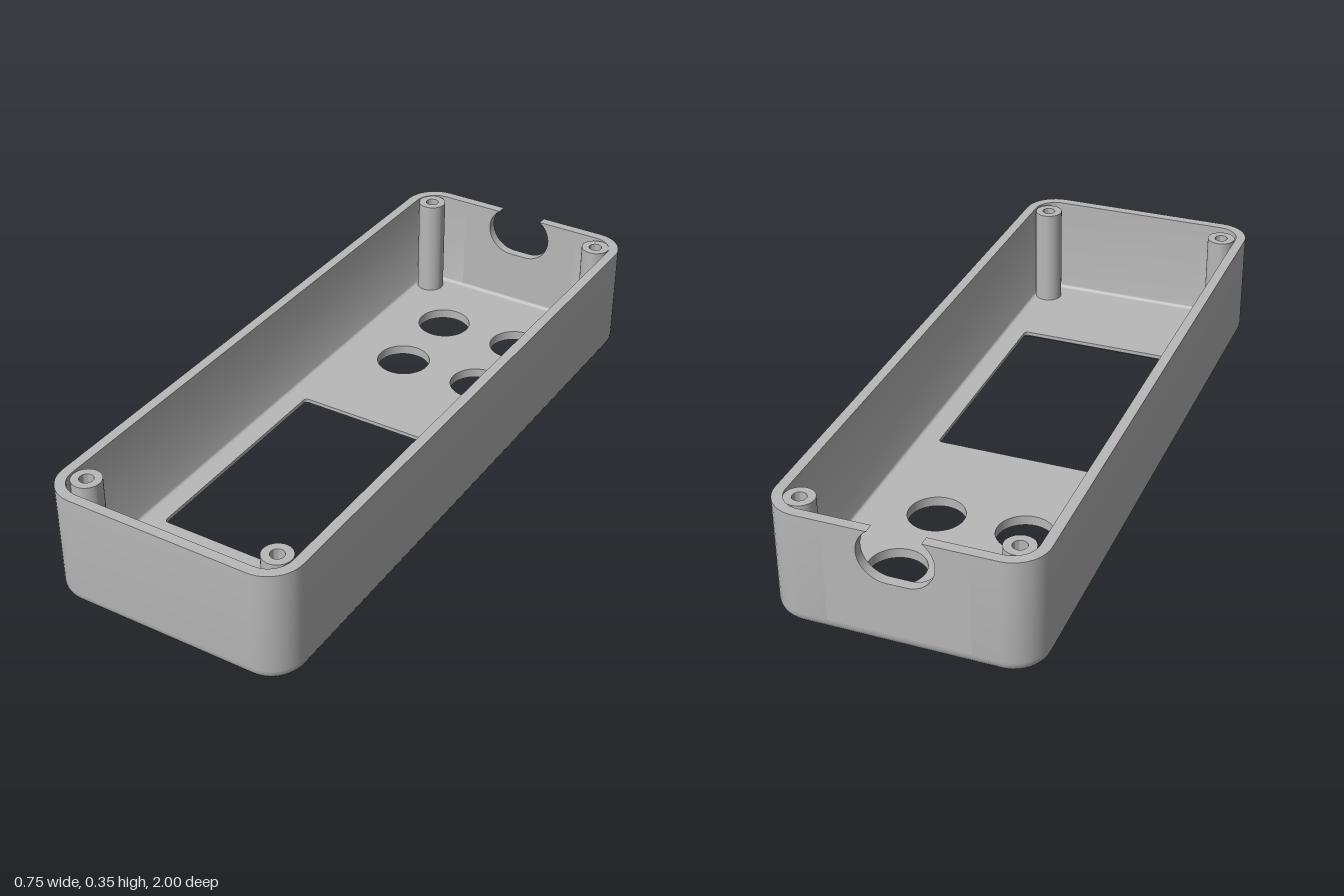
import * as THREE from 'three';
import { toCreasedNormals } from 'three/addons/utils/BufferGeometryUtils.js';

const H = 0.346, HX = 0.375, HZ = 1;      // height and half sizes
const WALL = 0.03, FLOOR = 0.03, FILLET = 0.04, CORNER = 0.1;
const PANEL = 0.2;                        // half width of the rear panel with the cable notch

// Rounded rectangle as [x, z] points, starting and ending on its rear edge
function roundRect(hx, hz, r, cx = 0, cz = 0, gap = 0, seg = 10) {
  const pts = [[cx - gap, cz - hz]];
  const corners = [[-1, -1, 1.5], [-1, 1, 1], [1, 1, 0.5], [1, -1, 0]];
  for (const [sx, sz, start] of corners) {
    for (let i = 0; i <= seg; i++) {
      const a = (start - 0.5 * i / seg) * Math.PI;
      pts.push([cx + sx * (hx - r) + r * Math.cos(a), cz + sz * (hz - r) + r * Math.sin(a)]);
    }
  }
  if (gap) pts.push([cx + gap, cz - hz]);
  return pts;
}

function circle(cx, cz, r, n = 40) {
  return Array.from({ length: n }, (_, i) => {
    const a = -2 * Math.PI * i / n;
    return [cx + r * Math.cos(a), cz + r * Math.sin(a)];
  });
}

// Skin through a stack of { y, pts } loops; the closing quad may be left out
function loft(loops, leaveOpen = () => false) {
  const pos = [];
  for (let k = 0; k + 1 < loops.length; k++) {
    const lo = loops[k], up = loops[k + 1], n = lo.pts.length;
    const count = leaveOpen(lo, up) ? n - 1 : n;
    for (let i = 0; i < count; i++) {
      const j = (i + 1) % n;
      const v = (l, m) => [l.pts[m][0], l.y, l.pts[m][1]];
      const a = v(lo, i), b = v(lo, j), c = v(up, j), d = v(up, i);
      pos.push(...a, ...b, ...c, ...a, ...c, ...d);
    }
  }
  const g = new THREE.BufferGeometry();
  g.setAttribute('position', new THREE.Float32BufferAttribute(pos, 3));
  return toCreasedNormals(g, 0.6);
}

// Flat sheet with holes, facing up or down
function sheet(outline, holes, y, up) {
  const s = up ? -1 : 1;
  const vec = pts => pts.map(([x, z]) => new THREE.Vector2(x, s * z));
  const shape = new THREE.Shape(vec(outline));
  shape.holes = holes.map(h => new THREE.Path(vec(h)));
  return new THREE.ShapeGeometry(shape).rotateX(s * Math.PI / 2).translate(0, y, 0);
}

export function createModel() {
  const group = new THREE.Group();
  const grey = new THREE.MeshStandardMaterial({ color: 0xb8b8b8 });
  grey.name = 'grey plastic';
  const add = (name, geo) => {
    const m = new THREE.Mesh(geo, grey);
    m.name = name;
    group.add(m);
    return m;
  };

  // Shell: rounded lower edge, outer wall, rim, inner wall, inner fillet
  const ring = (inset, y) => ({
    y, pts: roundRect(HX - inset, HZ - inset, CORNER - inset, 0, 0, PANEL),
  });
  const rings = [];
  for (let i = 0; i <= 6; i++) {
    const a = i / 6 * Math.PI / 2;
    rings.push(ring(FILLET * (1 - Math.sin(a)), FILLET * (1 - Math.cos(a))));
  }
  rings.push(ring(0, H), ring(WALL, H));
  const r = FILLET - FLOOR;
  for (let i = 0; i <= 4; i++) {
    const a = i / 4 * Math.PI / 2;
    rings.push(ring(WALL + r * (1 - Math.cos(a)), FILLET - r * Math.sin(a)));
  }
  const isWall = (lo, up) => Math.min(lo.y, up.y) > FILLET - 1e-6;
  add('shell', loft(rings, isWall));

  // Rear panel with a slot-shaped cable notch open at the rim
  const nr = 0.08, nx = 0.027, drop = 0.065, open = Math.asin(drop / nr);
  const panel = new THREE.Shape();
  panel.moveTo(-PANEL, FILLET);
  panel.lineTo(PANEL, FILLET);
  panel.lineTo(PANEL, H);
  panel.absarc(nx, H - drop, nr, open, -Math.PI / 2, true);
  panel.absarc(-nx, H - drop, nr, -Math.PI / 2, -Math.PI - open, true);
  panel.lineTo(-PANEL, H);
  const panelGeo = new THREE.ExtrudeGeometry(panel, { depth: WALL, bevelEnabled: false, curveSegments: 20 });
  add('rearPanel', toCreasedNormals(panelGeo.translate(0, 0, -HZ), 0.6));

  // Floor with four button holes and a display window bevelled from below
  const win = grow => roundRect(0.278 + grow, 0.362 + grow, 0.012 + grow, 0, 0.259, 0, 6);
  const buttons = [];
  for (const z of [-0.718, -0.453]) for (const x of [-0.1325, 0.1325]) buttons.push(circle(x, z, 0.083));
  const outline = ring(FILLET, 0).pts;
  add('floorTop', sheet(outline, [win(0), ...buttons], FLOOR, true));
  add('floorUnderside', sheet(outline, [win(0.025), ...buttons], 0, false));
  add('windowEdge', loft([
    { y: FLOOR, pts: win(0) }, { y: 0.018, pts: win(0) }, { y: 0, pts: win(0.025) },
  ]));
  for (const pts of buttons) add('buttonHoleEdge', loft([{ y: FLOOR, pts }, { y: 0, pts }]));

  // Screw posts with blind holes
  const profile = [[0.043, FLOOR - 0.005], [0.043, H - 0.002], [0.02, H - 0.002], [0.02, 0.12], [0, 0.12]]
    .map(([x, y]) => new THREE.Vector2(x, y));
  const postGeo = toCreasedNormals(new THREE.LatheGeometry(profile, 32), 0.6);
  for (const x of [-0.298, 0.298]) {
    for (const z of [-0.917, 0.898]) add('screwPost', postGeo).position.set(x, 0, z);
  }
  return group;
}
